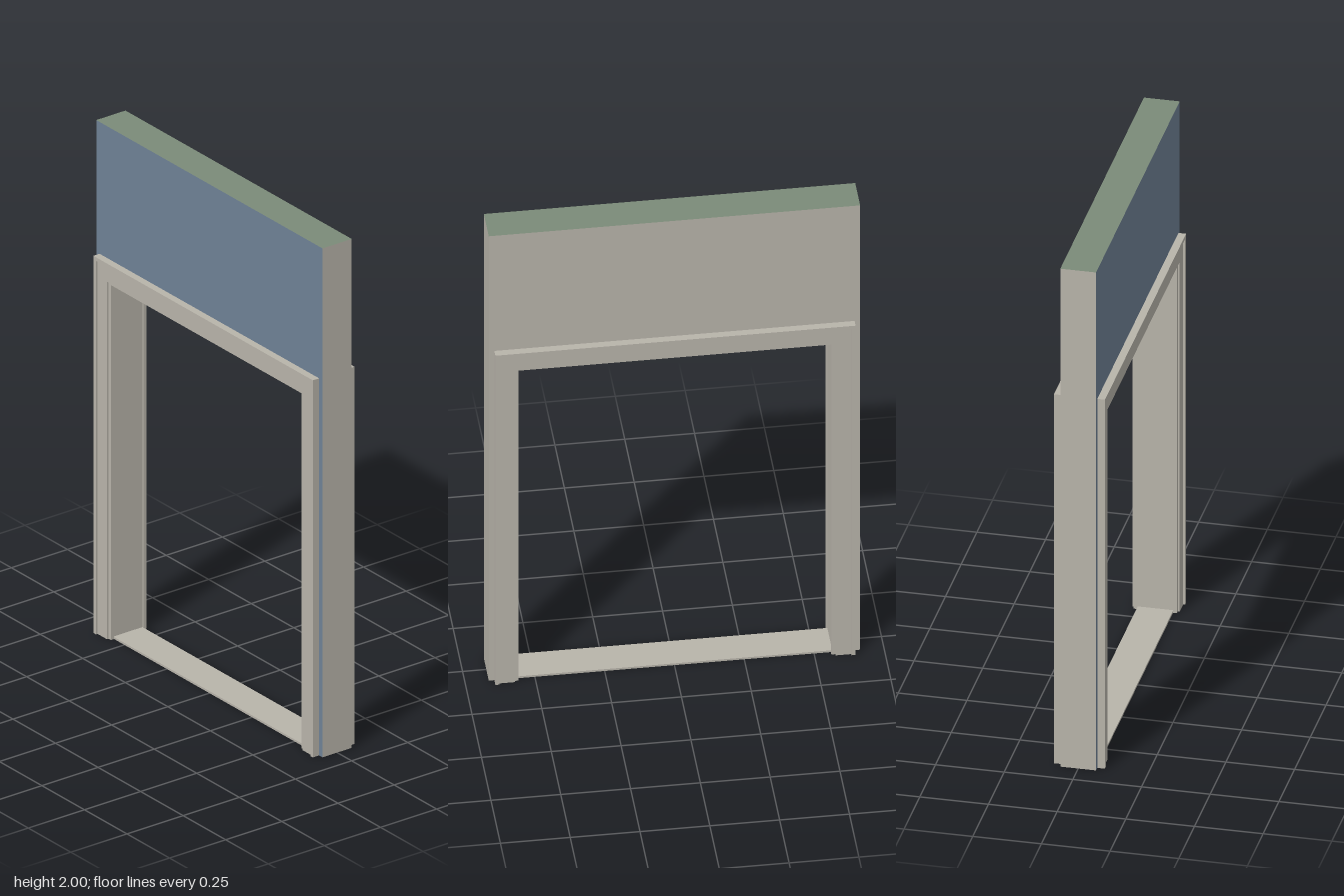
import * as THREE from 'three';

const HALF_W = 0.665, HALF_D = 0.065, HEIGHT = 2;
const OPEN_X = 0.565, OPEN_Y = 1.4;

export function createModel() {
  const model = new THREE.Group();
  model.name = 'doorwayWall';

  const material = (name, color) => {
    const m = new THREE.MeshStandardMaterial({ color });
    m.name = name;
    return m;
  };
  const grey = material('warmGrey', 0xb8b4aa);
  const blue = material('slateBlue', 0x6f8296);
  const green = material('sageGreen', 0x7b8b78);

  // Box given by its minimum and maximum corners
  const box = (name, parent, [x0, y0, z0], [x1, y1, z1], mat = grey) => {
    const mesh = new THREE.Mesh(new THREE.BoxGeometry(x1 - x0, y1 - y0, z1 - z0), mat);
    mesh.position.set((x0 + x1) / 2, (y0 + y1) / 2, (z0 + z1) / 2);
    mesh.name = name;
    parent.add(mesh);
  };

  // Wall: blue front, green top, grey elsewhere
  const wallFaces = [grey, grey, green, grey, blue, grey];
  box('wallAboveOpening', model, [-HALF_W, OPEN_Y, -HALF_D], [HALF_W, HEIGHT, HALF_D], wallFaces);
  box('leftWallPier', model, [OPEN_X, 0, -HALF_D], [HALF_W, OPEN_Y, HALF_D], wallFaces);
  box('rightWallPier', model, [-HALF_W, 0, -HALF_D], [-OPEN_X, OPEN_Y, HALF_D], wallFaces);

  // Threshold across the floor of the opening
  box('threshold', model, [-OPEN_X, 0, -HALF_D], [OPEN_X, 0.008, HALF_D]);

  // Stepped casing profile: [across start, across end, front depth]
  const legSteps = [['innerBead', 0.56, 0.574, 0.079], ['board', 0.574, 0.63, 0.086]];
  const headSteps = [['innerBead', 1.395, 1.405, 0.079], ['board', 1.405, 1.468, 0.086]];

  for (const [faceName, turn] of [['frontCasing', 0], ['backCasing', Math.PI]]) {
    const casing = new THREE.Group();
    casing.name = faceName;
    casing.rotation.y = turn;
    for (const [side, s] of [['left', 1], ['right', -1]]) {
      const upright = (part, a, b, top, depth) => box(side + part, casing,
        [Math.min(s * a, s * b), 0, HALF_D], [Math.max(s * a, s * b), top, depth]);
      for (const [part, a, b, depth] of legSteps) upright(part, a, b, 1.405, depth);
      upright('OuterBead', 0.63, 0.645, 1.482, 0.093);
    }
    for (const [part, a, b, depth] of headSteps) {
      const half = part === 'board' ? 0.63 : 0.56;
      box('head' + part, casing, [-half, a, HALF_D], [half, b, depth]);
    }
    box('headOuterBead', casing, [-0.63, 1.468, HALF_D], [0.63, 1.482, 0.093]);
    model.add(casing);
  }

  return model;
}
